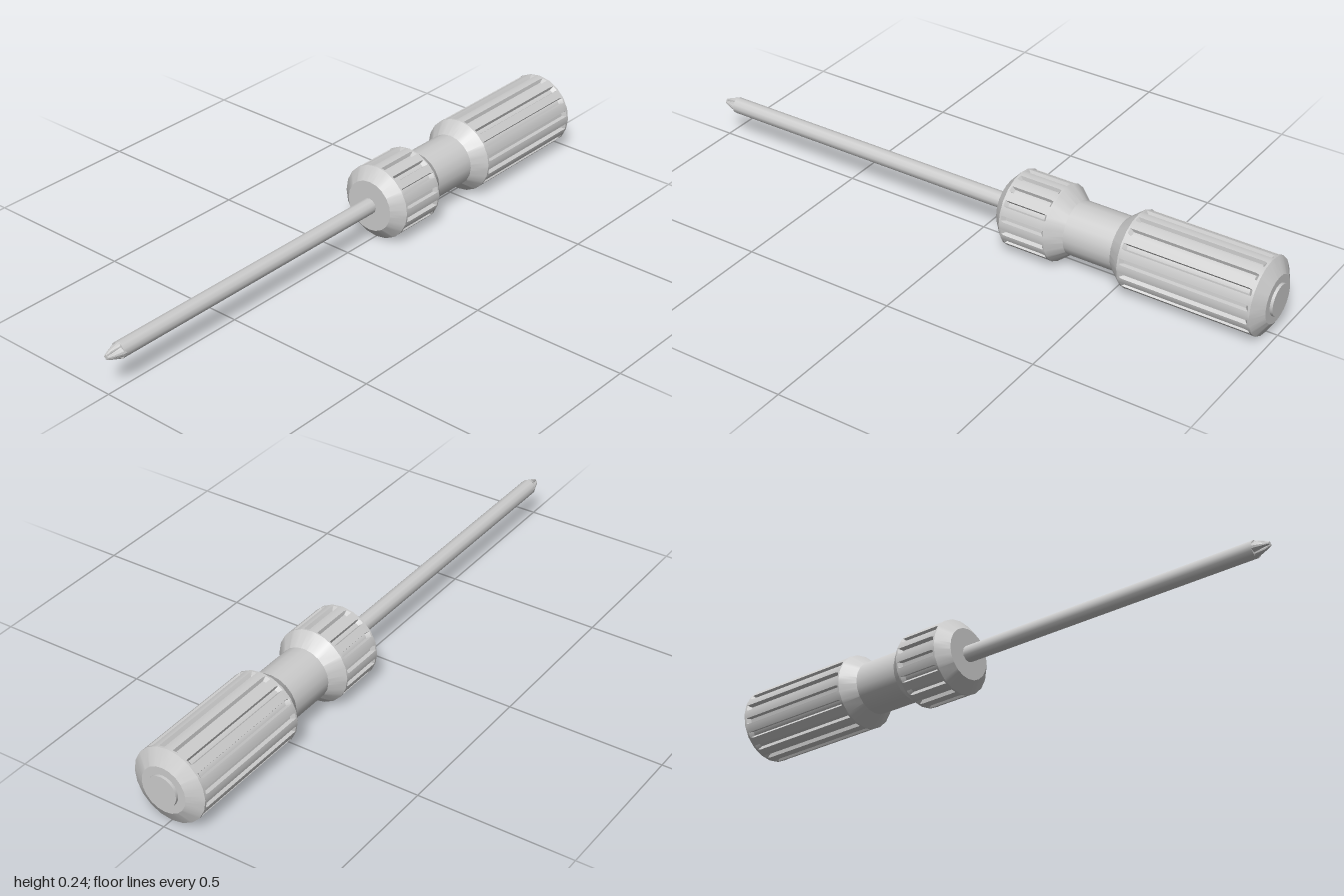
import * as THREE from 'three';
import { toCreasedNormals } from 'three/addons/utils/BufferGeometryUtils.js';

const AXIS_Y = 0.121;
const material = new THREE.MeshStandardMaterial({ color: 0xcccccc });

// Lofts [z, radius, grooveDepth] sections, front to back, around the z axis.
// The outline is a regular polygon with evenly spaced trapezoid grooves.
function groovedLoft(name, sections, { sides, grooves, phase, outer, inner }) {
  const step = (Math.PI * 2) / sides;
  const pitch = (Math.PI * 2) / grooves;
  const angles = [];
  for (let i = 0; i < sides; i++) angles.push(i * step);
  for (let k = 0; k < grooves; k++) {
    for (const a of [-outer, -inner, inner, outer]) angles.push((k + phase) * pitch + a);
  }
  const full = Math.PI * 2;
  const ring = angles
    .map((a) => (a + full) % full)
    .sort((a, b) => a - b)
    .filter((a, i, list) => i === 0 || a - list[i - 1] > 1e-4);

  const point = (a, [z, r, depth]) => {
    const side = (a % step) - step / 2;
    const polygon = (r * Math.cos(step / 2)) / Math.cos(side);
    const turn = a / pitch - phase;
    const off = Math.abs(turn - Math.round(turn)) * pitch;
    const cut = THREE.MathUtils.clamp((outer - off) / (outer - inner), 0, 1);
    const d = polygon - depth * cut;
    return [Math.cos(a) * d, Math.sin(a) * d, z];
  };

  const positions = [];
  for (let s = 0; s < sections.length - 1; s++) {
    for (let i = 0; i < ring.length; i++) {
      const next = ring[(i + 1) % ring.length];
      const a = point(ring[i], sections[s]);
      const b = point(next, sections[s]);
      const c = point(ring[i], sections[s + 1]);
      const d = point(next, sections[s + 1]);
      if (sections[s][1] > 0) positions.push(...a, ...c, ...b);
      if (sections[s + 1][1] > 0) positions.push(...b, ...c, ...d);
    }
  }
  const geometry = new THREE.BufferGeometry();
  geometry.setAttribute('position', new THREE.Float32BufferAttribute(positions, 3));
  const mesh = new THREE.Mesh(toCreasedNormals(geometry, 0.4), material);
  mesh.name = name;
  mesh.position.y = AXIS_Y;
  return mesh;
}

// Closed cylinder along z
function rod(name, radius, zFront, zBack, sides) {
  const geometry = new THREE.CylinderGeometry(radius, radius, zFront - zBack, sides);
  geometry.rotateX(Math.PI / 2);
  const mesh = new THREE.Mesh(geometry, material);
  mesh.name = name;
  mesh.position.set(0, AXIS_Y, (zFront + zBack) / 2);
  return mesh;
}

export function createModel() {
  const model = new THREE.Group();
  model.name = 'screwdriver';
  const grip = { sides: 20, grooves: 16, phase: 0.5, outer: 0.085, inner: 0.06 };
  const R = 0.121;
  const D = 0.012;

  // Front collar with short grooves, chamfered at both ends
  model.add(groovedLoft('collar', [
    [-0.1, 0, 0], [-0.1, 0.083, 0], [-0.134, R, 0], [-0.14, R, 0], [-0.15, R, D],
    [-0.275, R, D], [-0.285, R, 0], [-0.29, R, 0], [-0.334, 0.085, 0], [-0.334, 0, 0],
  ], grip));

  // Plain waist between collar and grip
  model.add(rod('neck', 0.085, -0.33, -0.495, 20));

  // Long grooved grip
  model.add(groovedLoft('handle', [
    [-0.493, 0, 0], [-0.493, 0.085, 0], [-0.537, R, 0], [-0.543, R, 0], [-0.553, R, D],
    [-0.946, R, D], [-0.957, R, 0], [-0.964, R, 0], [-0.991, 0.075, 0], [-0.991, 0, 0],
  ], grip));

  // Round button on the butt end
  model.add(rod('endButton', 0.05, -0.98, -1, 20));

  // Shaft and cross-point tip
  model.add(rod('shaft', 0.026, 0.955, -0.12, 12));
  model.add(groovedLoft('crossTip', [
    [1, 0, 0], [1, 0.008, 0.003], [0.985, 0.015, 0.006], [0.955, 0.026, 0.005],
    [0.945, 0.026, 0], [0.945, 0, 0],
  ], { sides: 12, grooves: 4, phase: 0.5, outer: 0.5, inner: 0.12 }));

  return model;
}
